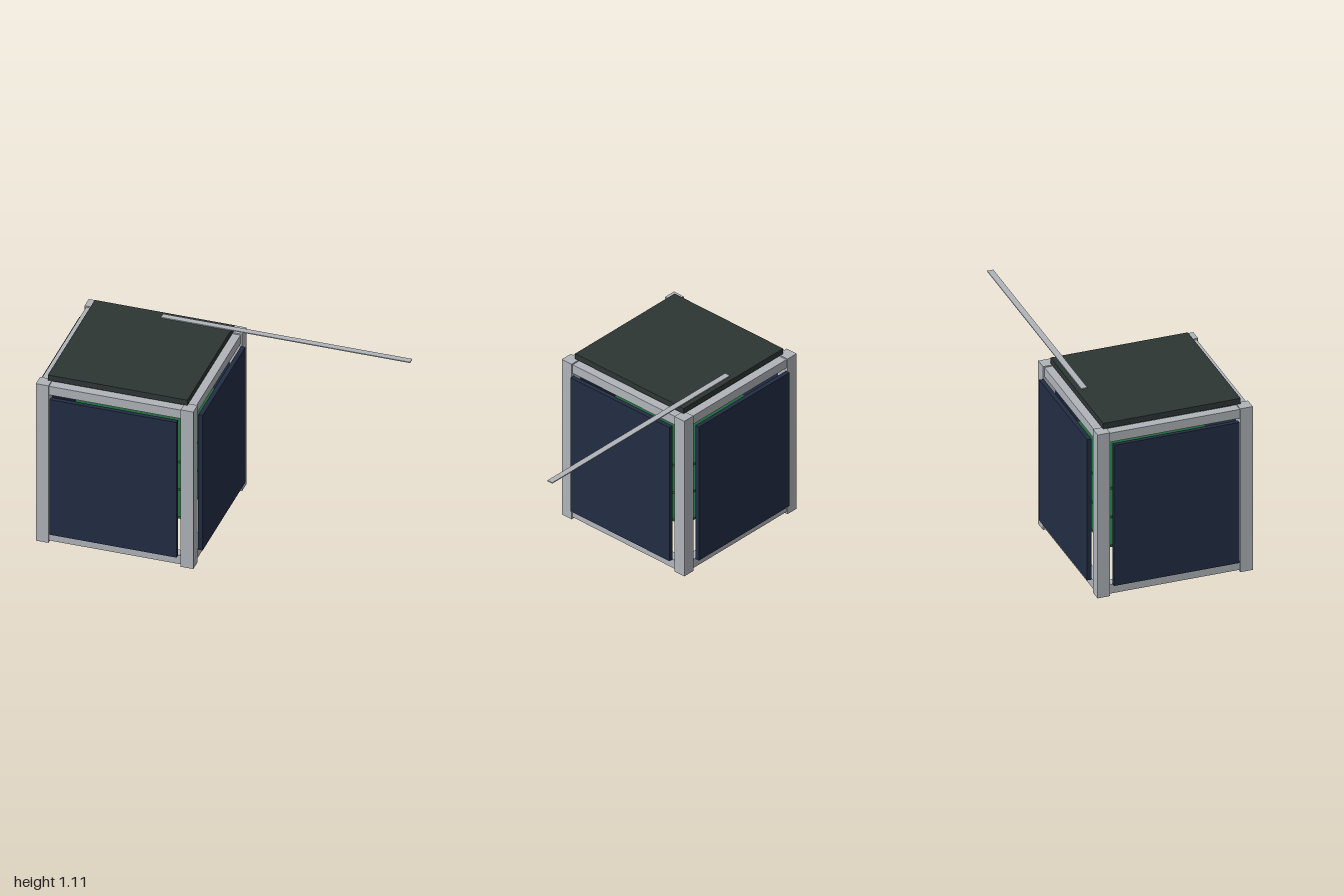
import * as THREE from 'three';

export function createModel() {
  const model = new THREE.Group();
  const mat = (name, color) => {
    const m = new THREE.MeshStandardMaterial({ color });
    m.name = name;
    return m;
  };
  const metal = mat('brushed aluminium', 0xb0b4b9);
  const solar = mat('solar navy', 0x222d43);
  const cover = mat('dark cover', 0x2d3634);
  const board = mat('circuit green', 0x1f6638);

  // The cube body sits off to one side, balanced by the long antenna
  const body = new THREE.Group();
  body.name = 'body';
  body.position.x = -0.5;
  model.add(body);

  const box = (name, material, size, pos, parent = body) => {
    const mesh = new THREE.Mesh(new THREE.BoxGeometry(...size), material);
    mesh.name = name;
    mesh.position.set(...pos);
    parent.add(mesh);
    return mesh;
  };

  const R = 0.436; // distance from body centre to rail centre

  for (const s of [-1, 1]) {
    // Corner rails
    for (const t of [-1, 1]) {
      box('cornerRail', metal, [0.076, 1.062, 0.076], [s * R, 0.531, t * R]);
    }
    // Cross beams at bottom and top
    for (const y of [0.04, 1.025]) {
      box('crossBeamX', metal, [0.796, 0.058, 0.058], [0, y, s * R]);
      box('crossBeamZ', metal, [0.058, 0.058, 0.796], [s * R, y, 0]);
    }
    // Solar panels on the four sides
    box('solarPanelZ', solar, [0.766, 0.914, 0.027], [0, 0.533, s * 0.4895]);
    box('solarPanelX', solar, [0.027, 0.914, 0.766], [s * 0.4865, 0.533, 0]);
  }

  // Stacked circuit boards inside
  for (const y of [0.282, 0.469, 0.656]) {
    box('circuitBoard', board, [0.8, 0.015, 0.8], [0, y, 0]);
  }

  // Top cover
  box('topCover', cover, [0.84, 0.036, 0.84], [0, 1.081, 0]);

  // Flat tape antenna, reaching out from the middle of the cover
  box('antenna', metal, [1.5, 0.006, 0.037], [0.25, 1.104, -0.374], model);

  return model;
}
